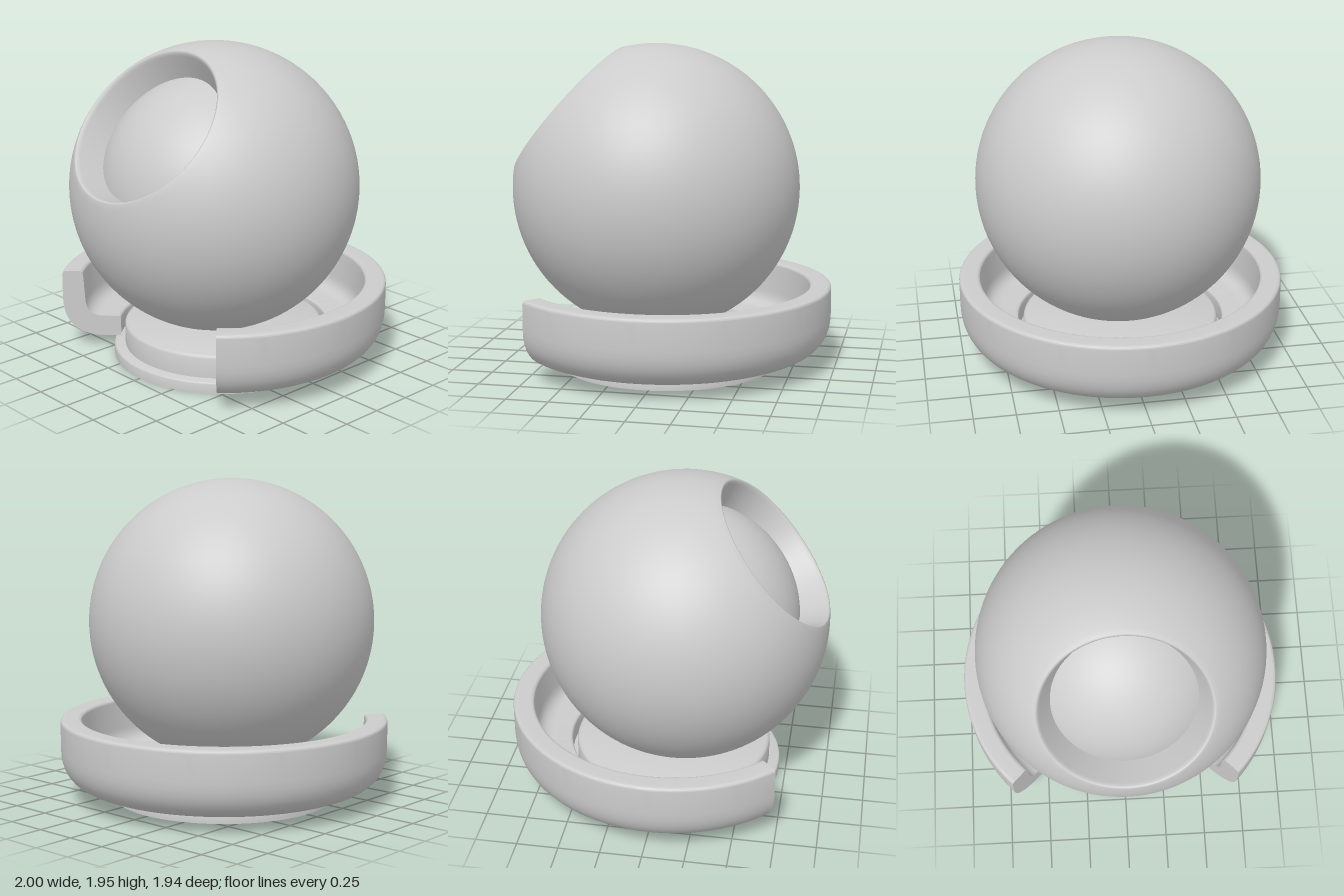
import * as THREE from 'three';
import { toCreasedNormals } from 'three/addons/utils/BufferGeometryUtils.js';

const material = new THREE.MeshStandardMaterial({ color: 0xcccccc });
const thinMaterial = new THREE.MeshStandardMaterial({ color: 0xcccccc, side: THREE.DoubleSide });

function addMesh(parent, name, geometry, mat = material) {
  const mesh = new THREE.Mesh(geometry, mat);
  mesh.name = name;
  parent.add(mesh);
  return mesh;
}

// Solid disc with a small bevel on its upper edge
function disc(radius, bottom, top, bevel) {
  const points = [
    [0, bottom], [radius, bottom], [radius, top - bevel],
    [radius - bevel * 0.3, top - bevel * 0.3], [radius - bevel, top], [0, top],
  ].map(([r, y]) => new THREE.Vector2(r, y));
  return toCreasedNormals(new THREE.LatheGeometry(points, 96), 0.9);
}

// Ball: outer shell with a flared circular opening, and a smaller ball inside
function createBall() {
  const ball = new THREE.Group();
  ball.name = 'ball';
  const R = 0.87;
  const rimAngle = Math.asin(0.508 / R);
  const profile = [];
  const steps = 64;
  for (let i = 0; i <= steps; i++) {
    const a = Math.PI - (i / steps) * (Math.PI - rimAngle);
    profile.push(new THREE.Vector2(Math.max(0, R * Math.sin(a)), R * Math.cos(a)));
  }
  // Softly rounded rim, then the wall down to the inner ball
  for (const [r, y] of [[0.5, 0.706], [0.492, 0.7], [0.483, 0.685], [0.45, 0.61], [0.415, 0.53]]) {
    profile.push(new THREE.Vector2(r, y));
  }
  addMesh(ball, 'outerShell', new THREE.LatheGeometry(profile, 96), thinMaterial);
  addMesh(ball, 'innerBall', new THREE.SphereGeometry(0.69, 64, 40));
  ball.position.set(0, 1.08, 0.1);
  ball.rotation.x = Math.atan2(0.758, 0.652);
  return ball;
}

// Tray: L-shaped section swept three quarters of a turn, open at the front
function createTray() {
  const tray = new THREE.Group();
  tray.name = 'tray';
  const section = new THREE.Shape();
  section.moveTo(0.66, 0.075);
  section.lineTo(0.76, 0.075);
  section.bezierCurveTo(0.92, 0.08, 1.0, 0.17, 1.0, 0.32);
  section.lineTo(1.0, 0.475);
  section.quadraticCurveTo(1.0, 0.5, 0.975, 0.5);
  section.lineTo(0.895, 0.5);
  section.quadraticCurveTo(0.87, 0.5, 0.87, 0.475);
  section.lineTo(0.86, 0.31);
  section.quadraticCurveTo(0.855, 0.21, 0.76, 0.207);
  section.lineTo(0.66, 0.205);
  section.quadraticCurveTo(0.64, 0.205, 0.64, 0.185);
  section.lineTo(0.64, 0.095);
  section.quadraticCurveTo(0.64, 0.075, 0.66, 0.075);

  const start = Math.PI / 4;
  const ring = new THREE.LatheGeometry(section.getPoints(10), 108, start, Math.PI * 1.5);
  addMesh(tray, 'trayRing', toCreasedNormals(ring, 0.7));
  // Flat faces closing the two ends
  for (const [name, phi] of [['leftTrayEnd', start], ['rightTrayEnd', -start]]) {
    const end = addMesh(tray, name, new THREE.ShapeGeometry(section, 10), thinMaterial);
    end.rotation.y = phi - Math.PI / 2;
  }
  return tray;
}

export function createModel() {
  const model = new THREE.Group();
  model.name = 'displayBall';

  const stand = new THREE.Group();
  stand.name = 'stand';
  stand.position.z = 0.03;
  addMesh(stand, 'baseDisc', disc(0.677, 0, 0.068, 0.01));
  addMesh(stand, 'pedestalDisc', disc(0.61, 0.06, 0.208, 0.02));
  stand.add(createTray());

  model.add(stand, createBall());
  return model;
}
